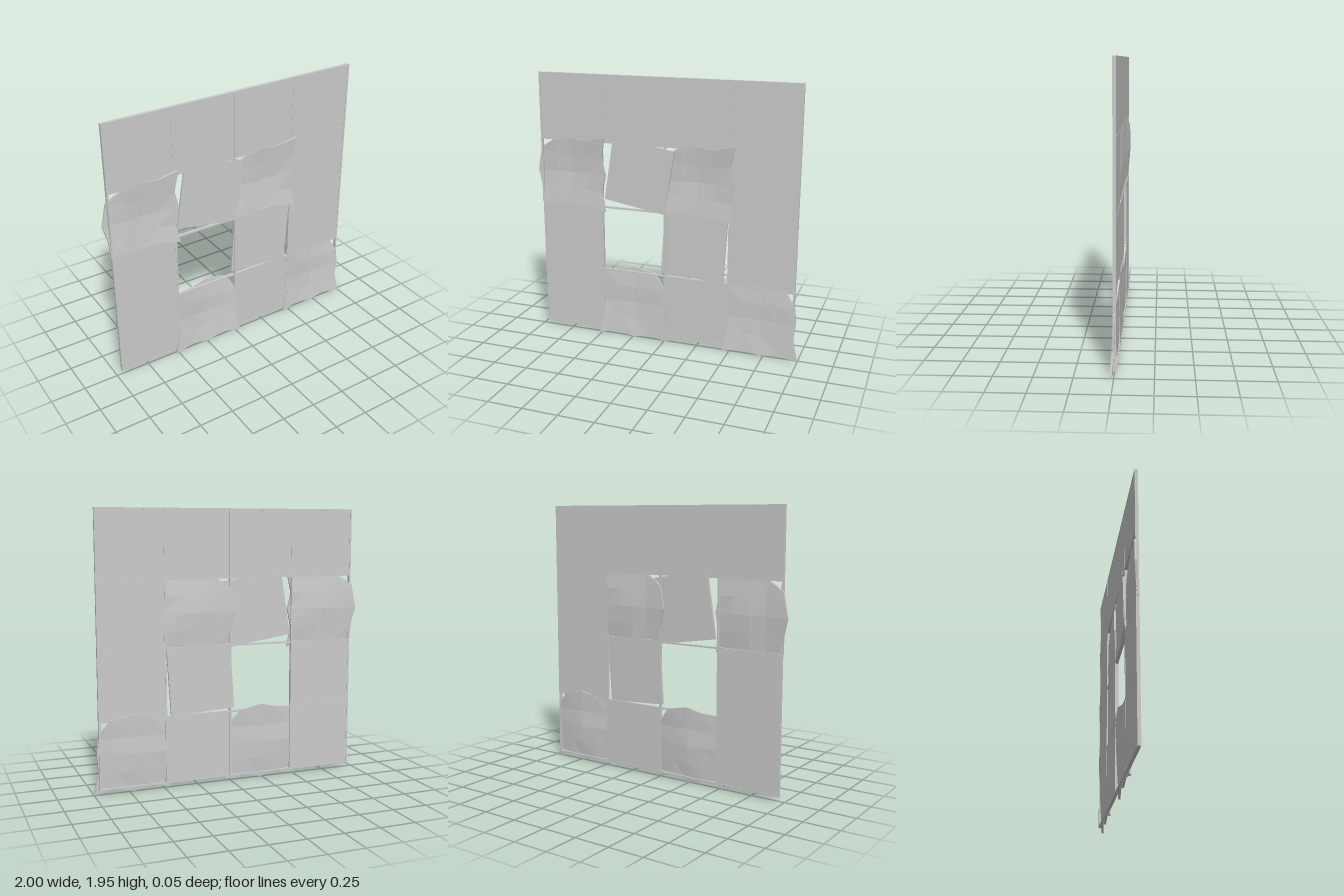
import * as THREE from 'three';

const CELL = 0.481, Y0 = 0.278, Z = -0.003;
const material = new THREE.MeshStandardMaterial({ color: 0xcccccc, flatShading: true });

// Buckled plate: rows run top to bottom, each point is [x, y, z]
const WARP = [
  [[-0.2, 0.2, -0.01], [-0.12, 0.247, 0], [-0.005, 0.255, 0.003], [0.115, 0.242, 0.008], [0.27, 0.277, 0.02]],
  [[-0.247, 0.165, -0.015], [-0.12, 0.12, -0.008], [0, 0.12, -0.009], [0.12, 0.12, -0.003], [0.242, 0.12, 0.004]],
  [[-0.28, 0, -0.019], [-0.12, 0, -0.012], [0, 0, -0.016], [0.12, 0, -0.01], [0.27, 0, 0.006]],
  [[-0.25, -0.12, -0.01], [-0.12, -0.12, -0.006], [0, -0.12, -0.01], [0.12, -0.12, -0.006], [0.243, -0.135, 0.002]],
  [[-0.245, -0.24, 0.002], [-0.12, -0.24, 0], [0, -0.245, -0.004], [0.12, -0.24, 0.004], [0.27, -0.276, 0.016]],
];

function warpedGeometry() {
  const g = new THREE.BoxGeometry(4, 4, 0.014, 4, 4, 1);
  const p = g.attributes.position;
  for (let i = 0; i < p.count; i++) {
    const [x, y, z] = WARP[2 - Math.round(p.getY(i))][Math.round(p.getX(i)) + 2];
    p.setXYZ(i, x, y, p.getZ(i) + z);
  }
  g.computeVertexNormals();
  return g;
}

export function createModel() {
  const group = new THREE.Group();
  const add = (name, geometry, x, y, z = Z, turn = 0) => {
    const mesh = new THREE.Mesh(geometry, material);
    mesh.name = name;
    mesh.position.set(x, y, z);
    mesh.rotation.z = turn;
    group.add(mesh);
    return mesh;
  };

  // Thin lattice behind and between the plates
  const span = 4 * CELL;
  const upright = new THREE.BoxGeometry(0.012, span, 0.022);
  const crossbar = new THREE.BoxGeometry(span, 0.012, 0.022);
  for (let i = 0; i <= 4; i++) {
    const inset = i === 0 ? 0.006 : i === 4 ? -0.006 : 0;
    add('uprightBar', upright, (i - 2) * CELL + inset, Y0 + 1.5 * CELL);
    add('crossBar', crossbar, 0, Y0 + (i - 0.5) * CELL + inset);
  }

  // Special cells keyed by column and row from the lower left
  const warped = { '0,2': 0, '2,2': 0, '1,0': -Math.PI / 2, '3,0': -Math.PI / 2 };
  const loose = { '1,2': [-0.195, 1.255, -0.158], '2,1': [0.222, 0.768, -0.062] };
  const plate = new THREE.BoxGeometry(0.478, 0.478, 0.018);
  const loosePlate = new THREE.BoxGeometry(0.47, 0.47, 0.016);
  const bent = warpedGeometry();

  for (let c = 0; c < 4; c++) {
    for (let r = 0; r < 4; r++) {
      const key = `${c},${r}`;
      if (key === '1,1') continue; // open cell
      const x = (c - 1.5) * CELL, y = Y0 + r * CELL;
      if (key in warped) {
        add('warpedPlate', bent, x, y, 0, warped[key]);
      } else if (key in loose) {
        const [lx, ly, turn] = loose[key];
        const mesh = add('loosePlate', loosePlate, lx, ly, Z, turn);
        mesh.rotation.y = -0.02;
      } else {
        add('flatPlate', plate, x, y);
      }
    }
  }
  return group;
}
